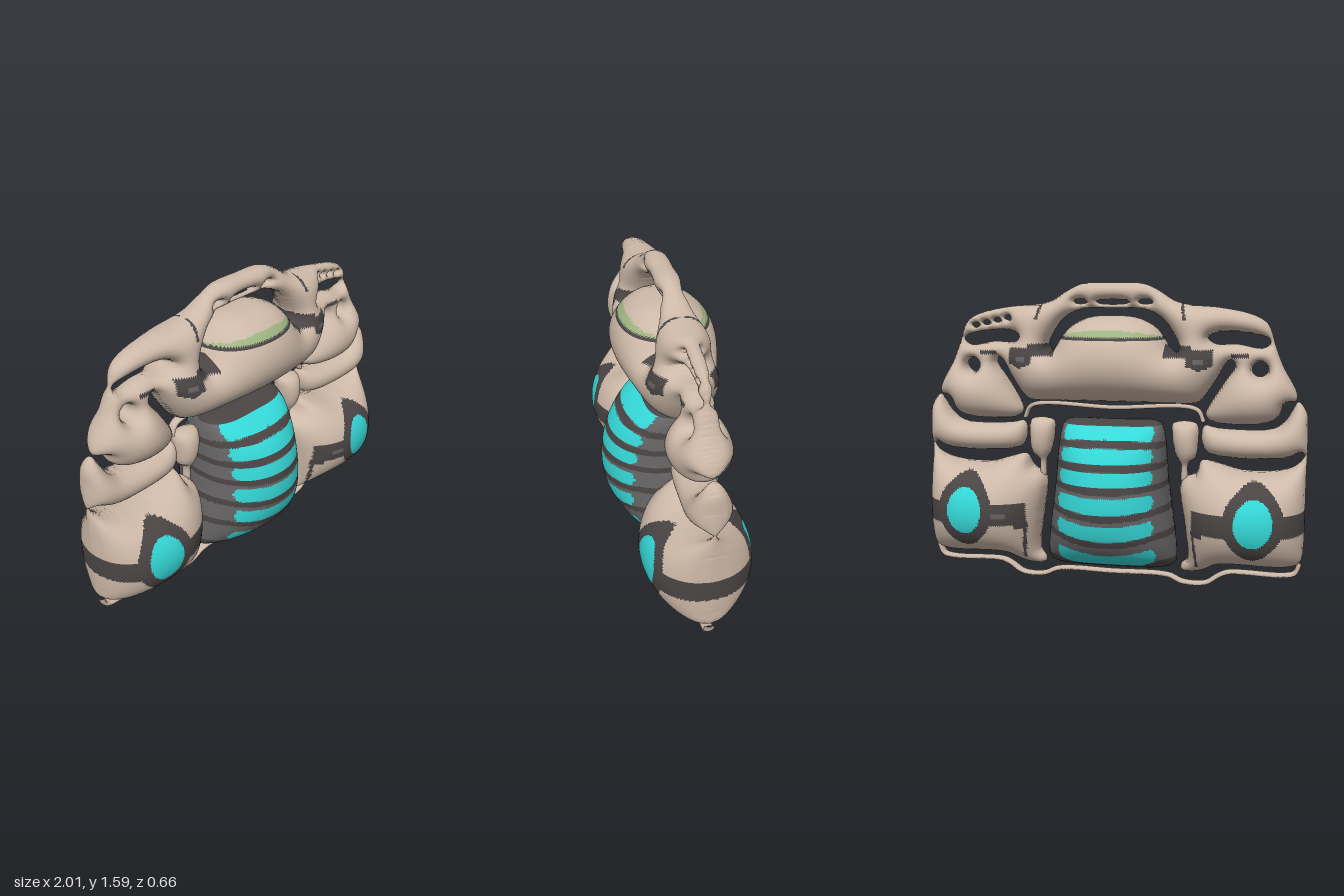
import * as THREE from 'three';

const STEP = 0.01;
const mat = (name, color) => new THREE.MeshStandardMaterial({ name, color });

const mirrorX = pts => pts.map(([x, y]) => [-x, y]);
// Complete a half outline (from the centre line round to the centre line)
const whole = half => [...half, ...mirrorX(half).reverse().filter(p => p[0] !== 0)];
const oval = (cx, cy, rx, ry) => Array.from({ length: 10 }, (_, i) => {
  const a = i * Math.PI / 5;
  return [cx + rx * Math.cos(a), cy + ry * Math.sin(a)];
});
const smoothLoop = pts => new THREE.CatmullRomCurve3(
  pts.map(([x, y]) => new THREE.Vector3(x, y, 0)), true, 'centripetal').getPoints(pts.length * 5);

// Distance to the loops, negative inside (holes by parity)
function signedDistance(loops, x, y) {
  let best = Infinity, inside = false;
  for (const loop of loops) for (let k = 0; k < loop.length - 1; k++) {
    const a = loop[k], b = loop[k + 1], dx = b.x - a.x, dy = b.y - a.y;
    const l2 = dx * dx + dy * dy || 1e-12;
    const t = Math.min(1, Math.max(0, ((x - a.x) * dx + (y - a.y) * dy) / l2));
    best = Math.min(best, (a.x + t * dx - x) ** 2 + (a.y + t * dy - y) ** 2);
    if ((a.y > y) !== (b.y > y) && x < a.x + (y - a.y) / dy * dx) inside = !inside;
  }
  return (inside ? -1 : 1) * (Math.sqrt(best) + 1e-6);
}

// Inflate a flat outline with holes into a two-sided pillow, like a blown-up membrane
function inflate(name, outlines, depth, palette, paint) {
  const loops = outlines.map(smoothLoop);
  const box = new THREE.Box3().setFromPoints(loops[0]);
  const x0 = (Math.floor(box.min.x / STEP) - 1) * STEP, y0 = (Math.floor(box.min.y / STEP) - 1) * STEP;
  const nx = Math.ceil((box.max.x - x0) / STEP) + 2, ny = Math.ceil((box.max.y - y0) / STEP) + 2;
  const sd = new Float64Array(nx * ny), u = new Float64Array(nx * ny);
  for (let j = 0; j < ny; j++) for (let i = 0; i < nx; i++)
    sd[j * nx + i] = signedDistance(loops, x0 + i * STEP, y0 + j * STEP);

  // Membrane under even pressure, held at zero on the outline
  const sides = [1, -1, nx, -nx];
  for (let pass = 0; pass < 500; pass++) for (let n = 0; n < u.length; n++) {
    if (sd[n] >= 0) continue;
    let sum = 1, diag = 4;
    for (const s of sides) {
      if (sd[n + s] < 0) sum += u[n + s];
      else diag += Math.min(20, -sd[n + s] / sd[n]);
    }
    u[n] += 1.85 * (sum / diag - u[n]);
  }
  const peak = u.reduce((a, b) => Math.max(a, b), 0);

  // Shared corners, with cells cut along the outline
  const pos = [], ids = new Map(), faces = palette.map(() => []);
  const vertex = (key, x, y, z) => {
    if (!ids.has(key)) { ids.set(key, pos.length / 3); pos.push(x, y, z); }
    return ids.get(key);
  };
  for (let j = 0; j < ny - 1; j++) for (let i = 0; i < nx - 1; i++) {
    const n = j * nx + i, cell = [n, n + 1, n + nx + 1, n + nx];
    if (cell.every(c => sd[c] >= 0)) continue;
    for (const side of [1, -1]) {
      const poly = [];
      cell.forEach((a, k) => {
        const b = cell[(k + 1) % 4];
        const ax = x0 + (a % nx) * STEP, ay = y0 + Math.floor(a / nx) * STEP;
        const bx = x0 + (b % nx) * STEP, by = y0 + Math.floor(b / nx) * STEP;
        if (sd[a] < 0) poly.push(vertex(side + 'n' + a, ax, ay, side * depth * Math.sqrt(Math.max(0, u[a]) / peak)));
        if ((sd[a] < 0) !== (sd[b] < 0)) {
          const t = sd[a] / (sd[a] - sd[b]);
          poly.push(vertex('e' + Math.min(a, b) + '_' + Math.max(a, b), ax + t * (bx - ax), ay + t * (by - ay), 0));
        }
      });
      for (let k = 1; k < poly.length - 1; k++) {
        const tri = [poly[0], poly[k], poly[k + 1]];
        const mid = c => (pos[tri[0] * 3 + c] + pos[tri[1] * 3 + c] + pos[tri[2] * 3 + c]) / 3;
        if (side < 0) tri.reverse();
        faces[paint(mid(0), mid(1))].push(...tri);
      }
    }
  }
  const geo = new THREE.BufferGeometry();
  geo.setAttribute('position', new THREE.Float32BufferAttribute(pos, 3));
  geo.setIndex(faces.flat());
  let start = 0;
  faces.forEach((f, m) => {
    if (f.length) geo.addGroup(start, f.length, m);
    start += f.length;
  });
  geo.computeVertexNormals();
  const mesh = new THREE.Mesh(geo, palette);
  mesh.name = name;
  return mesh;
}

function bar(name, half, radius, material) {
  const pts = whole(half).map(([x, y]) => new THREE.Vector3(x, y, 0));
  // start from one outer end rather than the centre
  pts.sort((a, b) => a.x - b.x);
  const mesh = new THREE.Mesh(new THREE.TubeGeometry(new THREE.CatmullRomCurve3(pts, false, 'centripetal'), 120, radius, 8), material);
  mesh.scale.z = 2.2;
  mesh.name = name;
  return mesh;
}

const within = (v, a, b) => v > a && v < b;
const TAN = 0, DARK = 1, GREY = 2, CYAN = 3, GREEN = 4;

function paintHull(x, y) {
  const X = Math.abs(x);
  if (X < 0.26 && within(y, 1.315, 1.35 - 0.45 * X * X)) return GREEN;
  if (X < 0.285 && within(y, 1.3, 1.315)) return DARK;
  if (within(X, 0.43, 0.48) && within(y, 1.185, 1.21)) return GREY;
  if (within(X, 0.395, 0.525) && within(y, 1.15 + 0.4 * Math.abs(X - 0.46), 1.255)) return DARK;
  if (within(X, 0.28, 0.42) && within(y, 1.215, 1.275)) return DARK;
  if (within(X, 0.61, 0.7) && within(y, 1.215, 1.235)) return DARK;
  if (within(X - (1.44 - y) * 0.2, 0.365, 0.38) && within(y, 1.4, 1.48)) return DARK;
  return TAN;
}

function paintPod(x, y) {
  const X = Math.abs(x), r = (a, b, p) => (Math.abs(X - 0.745) / a) ** p + (Math.abs(y - 0.41) / b) ** p;
  if (r(0.095, 0.122, 2) < 1) return CYAN;
  if (x > 0 && within(x, 0.525, 0.595) && within(y, 0.375, 0.4)) return GREY;
  if (r(0.155, 0.195, 1.7) < 1) return DARK;
  if (X > 0.435 && within(y, X < 0.49 ? 0.31 : 0.335, 0.45)) return DARK;
  if (within(X + 0.1 * (y - 0.3), 0.435, 0.45) && within(y, 0.13, 0.34)) return DARK;
  return TAN;
}

const cyanBars = [[0.775, 0.85], [0.675, 0.74], [0.575, 0.64], [0.45, 0.525], [0.32, 0.395], [0.16, 0.245]];
function paintPanel(x, y) {
  if (y < 0.112) return TAN;
  if (y > 0.86 || y < 0.14) return DARK;
  // stripes arch at the top and sag at the bottom
  const bow = 0.045 - 0.105 * (y - 0.2);
  const v = y + bow * (1 - Math.min(1, (x / 0.27) ** 2)) - 0.01;
  for (const [lo, hi] of cyanBars) {
    const taper = 0.03 * Math.abs(v - (lo + hi) / 2) / (hi - lo);
    if (within(v, lo, hi) && Math.abs(x) < 0.265 - 0.035 * y - taper) return CYAN;
    if (within(v, lo - 0.034, lo - 0.002)) return DARK;
  }
  return GREY;
}

export function createModel() {
  const model = new THREE.Group();
  model.name = 'inflatedMachine';
  const palette = [mat('tan', 0xcdb9a8), mat('darkGrey', 0x4a4544), mat('grey', 0x666464),
    mat('cyan', 0x35d8d8), mat('green', 0x9fb583)];
  const plain = () => TAN;

  // Upper hull with grip, shoulders and side panels
  const hull = whole([[0, 1.585], [0.16, 1.58], [0.24, 1.545], [0.32, 1.495], [0.4, 1.475], [0.55, 1.462],
    [0.72, 1.425], [0.79, 1.38], [0.83, 1.27], [0.87, 1.17], [0.94, 1.04], [0.94, 1.0], [0.88, 0.985],
    [0.855, 0.92], [0.8, 0.885], [0.53, 0.88], [0.485, 0.915], [0.505, 0.97], [0.58, 1.09], [0.63, 1.17],
    [0.615, 1.2], [0.59, 1.19], [0.53, 1.09], [0.465, 0.995], [0.44, 0.977], [0.2, 0.975], [0, 0.975]]);
  const gripOpening = whole([[0, 1.455], [0.17, 1.45], [0.26, 1.405], [0.31, 1.34], [0.345, 1.265],
    [0.33, 1.235], [0.295, 1.26], [0.27, 1.305], [0.21, 1.37], [0.12, 1.41], [0, 1.418]]);
  const slot = [[0.8, 1.305], [0.74, 1.328], [0.55, 1.34], [0.49, 1.31], [0.53, 1.28], [0.64, 1.28], [0.76, 1.26], [0.8, 1.28]];
  const holes = [gripOpening, slot, mirrorX(slot), oval(0, 1.488, 0.09, 0.013)];
  for (const s of [-1, 1]) holes.push(oval(s * 0.17, 1.49, 0.038, 0.013), oval(s * 0.755, 1.155, 0.04, 0.038));
  for (let k = 0; k < 4; k++) holes.push(oval(0.56 + k * 0.06, 1.405 - k * 0.013, 0.022, 0.013));
  model.add(inflate('upperHull', [hull, ...holes], 0.26, palette, paintHull));

  // Striped centre panel
  const panel = whole([[0, 0.88], [0.23, 0.88], [0.262, 0.86], [0.3, 0.55], [0.345, 0.2], [0.343, 0.13], [0.31, 0.105], [0, 0.1]]);
  model.add(inflate('centrePanel', [panel], 0.33, palette, paintPanel));

  // Paired side parts
  const pod = [[1.0, 0.76], [0.985, 0.71], [0.94, 0.665], [0.85, 0.635], [0.68, 0.63], [0.57, 0.66], [0.47, 0.68],
    [0.44, 0.61], [0.39, 0.59], [0.36, 0.55], [0.385, 0.35], [0.4, 0.15], [0.37, 0.12], [0.37, 0.085], [0.43, 0.08],
    [0.5, 0.1], [0.57, 0.138], [0.94, 0.14], [0.99, 0.17], [1.0, 0.25], [1.0, 0.6]];
  const fender = [[0.993, 0.94], [0.95, 0.995], [0.92, 0.95], [0.89, 0.9], [0.83, 0.855], [0.55, 0.85], [0.48, 0.86],
    [0.465, 0.8], [0.49, 0.73], [0.56, 0.705], [0.84, 0.7], [0.92, 0.715], [0.97, 0.74], [0.998, 0.72], [1.0, 0.85]];
  const strut = [[0.44, 0.87], [0.32, 0.87], [0.31, 0.84], [0.335, 0.7], [0.36, 0.66], [0.365, 0.56],
    [0.395, 0.56], [0.4, 0.66], [0.435, 0.69], [0.45, 0.78]];
  for (const [side, place] of [['left', p => p], ['right', mirrorX]]) {
    model.add(inflate(side + 'Pod', [place(pod)], 0.27, palette, paintPod));
    model.add(inflate(side + 'Fender', [place(fender)], 0.105, palette, plain));
    model.add(inflate(side + 'Strut', [place(strut)], 0.075, palette, plain));
  }

  // Thin rod above the panel and rail along the bottom
  model.add(bar('crossRod', [[0, 0.942], [0.44, 0.942], [0.475, 0.88]], 0.012, palette[TAN]));
  model.add(bar('bottomRail', [[0, 0.052], [0.3, 0.05], [0.38, 0.018], [0.5, 0.02], [0.57, 0.065],
    [0.62, 0.085], [0.9, 0.085], [0.96, 0.1], [0.986, 0.16]], 0.013, palette[TAN]));
  return model;
}
